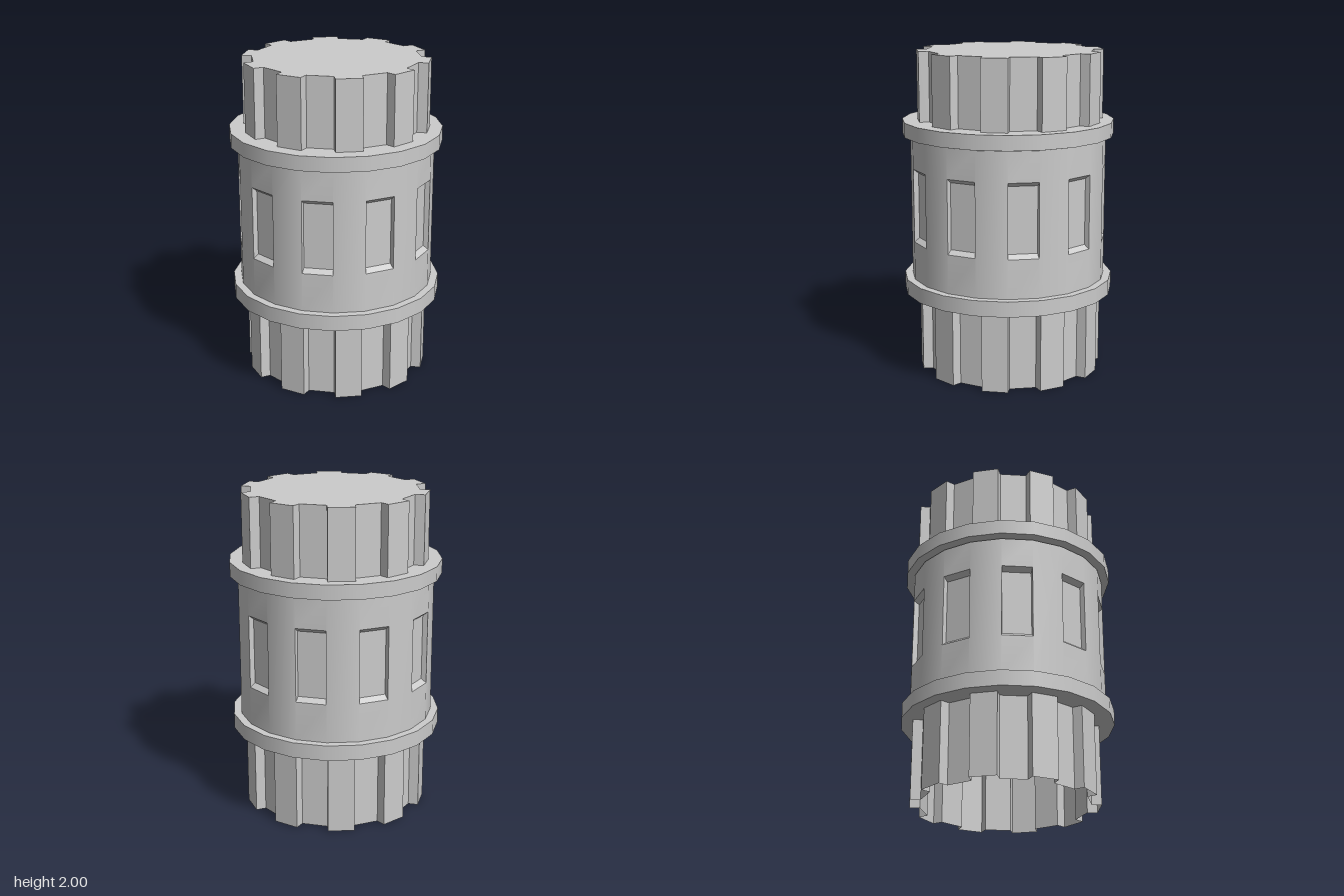
import * as THREE from 'three';
import { toCreasedNormals } from 'three/addons/utils/BufferGeometryUtils.js';

const SIDES = 20, STEP = 360 / SIDES;
const CX = -0.005, CZ = -0.012; // the splined shaft sits slightly off centre

// Point at radius r, angle a (degrees, from the back towards +x), height y
const polar = (r, a, y) => {
  const t = THREE.MathUtils.degToRad(a);
  return new THREE.Vector3(r * Math.sin(t), y, -r * Math.cos(t));
};

// Collects convex faces whose corners run counter-clockwise from outside
function faceBuilder() {
  const pos = [];
  const face = (...p) => {
    for (let i = 1; i < p.length - 1; i++) {
      for (const v of [p[0], p[i], p[i + 1]]) pos.push(v.x, v.y, v.z);
    }
  };
  const build = () => {
    const g = new THREE.BufferGeometry();
    g.setAttribute('position', new THREE.Float32BufferAttribute(pos, 3));
    g.computeVertexNormals();
    return g;
  };
  return { face, build };
}

// Outline of the shaft: ten parallel-sided teeth with flat valleys
function splineOutline() {
  const pts = [];
  for (let k = 0; k < 10; k++) {
    const c = -8.9 + 36 * k;
    for (const [r, d] of [[0.51, -9], [0.571, -8.05], [0.571, 8.05], [0.51, 9]]) {
      pts.push(polar(r, c + d, 0).add(new THREE.Vector3(CX, 0, CZ)));
    }
  }
  return pts;
}

// Solid splined shaft, closed at the top
function solidShaft(y0, y1) {
  const shape = new THREE.Shape(splineOutline().map(p => new THREE.Vector2(p.x, -p.z)));
  const g = new THREE.ExtrudeGeometry(shape, { depth: y1 - y0, bevelEnabled: false });
  return g.rotateX(-Math.PI / 2).translate(0, y0, 0);
}

// Thin splined skirt, open at the bottom
function openSkirt(y0, y1) {
  const { face, build } = faceBuilder();
  const pts = splineOutline();
  const at = (p, y) => new THREE.Vector3(p.x, y, p.z);
  pts.forEach((p, i) => {
    const q = pts[(i + 1) % pts.length];
    face(at(q, y0), at(p, y0), at(p, y1), at(q, y1));
  });
  return build();
}

// Twenty-sided sleeve with a recessed window in every other face
function windowedSleeve(r, y0, y1) {
  const { face, build } = faceBuilder();
  const rect = (rad, k, b, t, inset) => {
    const corner = (s, y) => polar(rad, (k + 1) * STEP, y).lerp(polar(rad, k * STEP, y), s);
    return [corner(inset, b), corner(1 - inset, b), corner(1 - inset, t), corner(inset, t)];
  };
  const ring = (a, b) => a.forEach((p, i) => {
    const j = (i + 1) % 4;
    face(p, a[j], b[j], b[i]);
  });
  for (let k = 0; k < SIDES; k++) {
    const outer = rect(r, k, y0, y1, 0);
    if (k % 2) {
      face(...outer);
    } else {
      const opening = rect(r, k, 0.835, 1.29, 0.015);
      const floor = rect(0.573, k, 0.86, 1.265, 0.015);
      ring(outer, opening);
      ring(opening, floor);
      face(...floor);
    }
    // End caps
    face(outer[3], outer[2], new THREE.Vector3(0, y1, 0));
    face(outer[1], outer[0], new THREE.Vector3(0, y0, 0));
  }
  return toCreasedNormals(build(), 0.5);
}

// Twenty-sided collar disc
function collar(y0, y1) {
  const g = new THREE.CylinderGeometry(0.653, 0.653, y1 - y0, SIDES);
  return g.translate(0, (y0 + y1) / 2, 0);
}

export function createModel() {
  const model = new THREE.Group();
  model.name = 'splinedCanister';
  const grey = new THREE.MeshStandardMaterial({ color: 0xcccccc });
  const greyOpen = new THREE.MeshStandardMaterial({ color: 0xcccccc, side: THREE.DoubleSide });
  const add = (name, geometry, material = grey) => {
    const mesh = new THREE.Mesh(geometry, material);
    mesh.name = name;
    model.add(mesh);
  };

  add('upperShaft', solidShaft(1.47, 2));
  add('upperCollar', collar(1.485, 1.575));
  add('windowedSleeve', windowedSleeve(0.605, 0.59, 1.475));
  add('lowerCollar', collar(0.5, 0.595));
  add('lowerSkirt', openSkirt(0, 0.5), greyOpen);
  return model;
}
